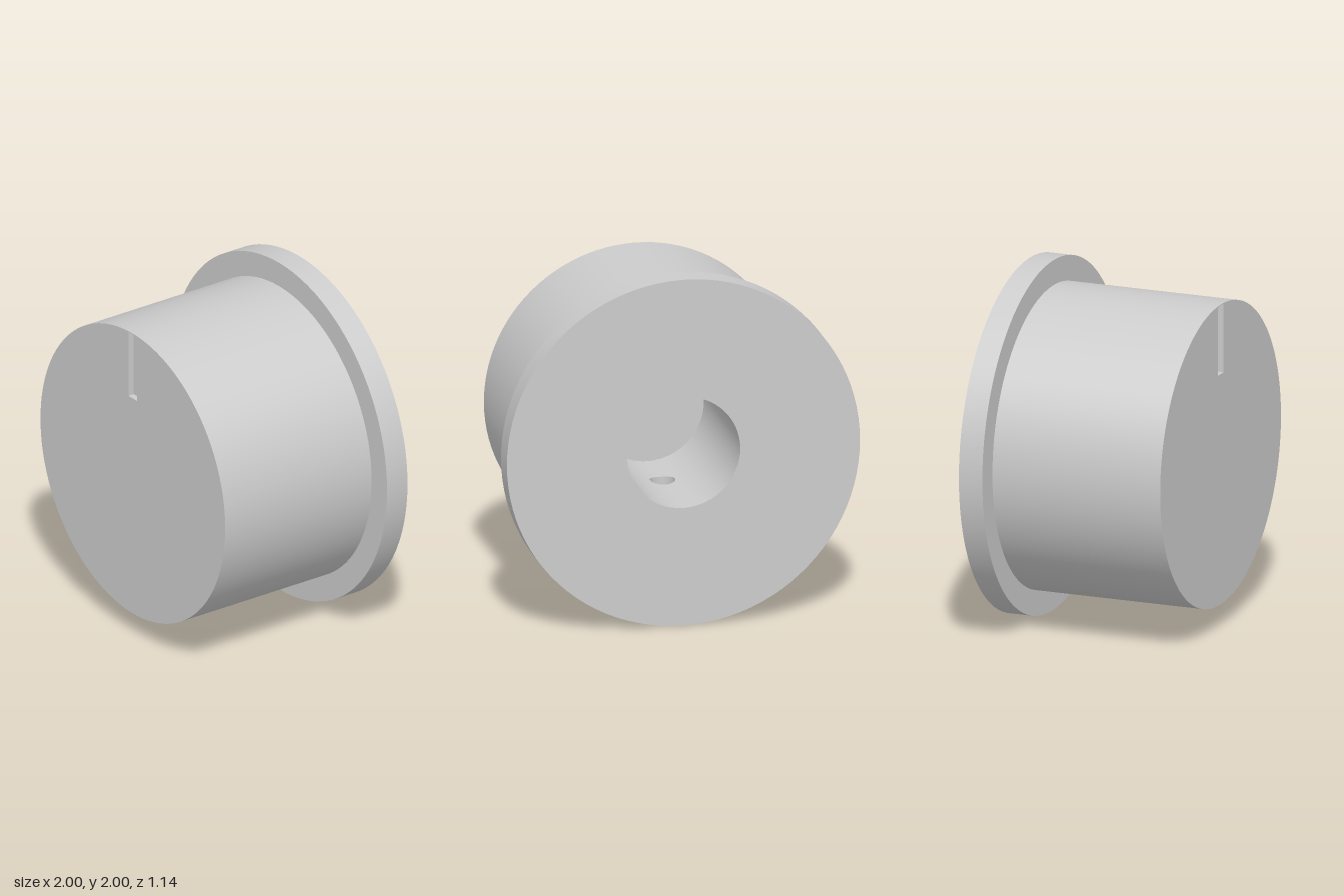
import * as THREE from 'three';
import { toCreasedNormals } from 'three/addons/utils/BufferGeometryUtils.js';

const SEG = 96;
const BODY_R = 0.857, FLANGE_R = 1, BORE_R = 0.32;
const BACK = -0.571, STEP = -0.431, FRONT = 0.571, BORE_END = 0.29;
const HOLE_R = 0.071, HOLE_Z = -0.07, PATCH = 0.1; // set screw hole
const SLOT = { w: 0.08, y0: 0.46, y1: 0.851, depth: 0.036 };

const material = (side = THREE.FrontSide) => new THREE.MeshStandardMaterial({ color: 0xcccccc, side });

// Cylinder wall along z, leaving a gap at the bottom for the pierced strip
function arcWall(r, z0, z1) {
  const gap = Math.asin(PATCH / r);
  return new THREE.CylinderGeometry(r, r, z1 - z0, SEG, 1, true, gap, 2 * Math.PI - 2 * gap)
    .rotateX(Math.PI / 2).translate(0, 0, (z0 + z1) / 2);
}

// Bottom strip of that wall with a round hole: rings blend from circle to rectangle
function piercedStrip(r, z0, z1) {
  const corners = [[PATCH, z0], [PATCH, z1], [-PATCH, z1], [-PATCH, z0]];
  const N = 16, RINGS = 4, count = 4 * N;
  const pos = [], nor = [], idx = [];
  for (let ring = 0; ring <= RINGS; ring++) {
    const t = ring / RINGS;
    for (let k = 0; k < count; k++) {
      const side = Math.floor(k / N), f = (k % N) / N;
      const a = corners[side], b = corners[(side + 1) % 4];
      const phi = -Math.PI / 4 + (k / count) * 2 * Math.PI;
      const x = THREE.MathUtils.lerp(HOLE_R * Math.cos(phi), a[0] + (b[0] - a[0]) * f, t);
      const z = THREE.MathUtils.lerp(HOLE_Z + HOLE_R * Math.sin(phi), a[1] + (b[1] - a[1]) * f, t);
      const y = -Math.sqrt(r * r - x * x);
      pos.push(x, y, z);
      nor.push(x / r, y / r, 0);
      if (ring < RINGS) {
        const n = (k + 1) % count, i = ring * count, o = i + count;
        idx.push(i + k, o + k, o + n, i + k, o + n, i + n);
      }
    }
  }
  const g = new THREE.BufferGeometry();
  g.setAttribute('position', new THREE.Float32BufferAttribute(pos, 3));
  g.setAttribute('normal', new THREE.Float32BufferAttribute(nor, 3));
  g.setIndex(idx);
  return g;
}

export function createModel() {
  const model = new THREE.Group();
  model.name = 'knob';
  const add = (name, geometry, side) => {
    const mesh = new THREE.Mesh(geometry, material(side));
    mesh.name = name;
    mesh.position.y = 1;
    model.add(mesh);
  };

  // Flange: back face, rim and front step
  const profile = [[BORE_R, BACK], [FLANGE_R, BACK], [FLANGE_R, STEP], [BODY_R, STEP]]
    .map(([x, y]) => new THREE.Vector2(x, y));
  add('flange', toCreasedNormals(new THREE.LatheGeometry(profile, SEG).rotateX(Math.PI / 2), 0.5));

  // Body wall and blind bore, both pierced at the bottom
  add('bodyWall', arcWall(BODY_R, STEP, FRONT));
  add('bodyWallBottom', piercedStrip(BODY_R, STEP, FRONT));
  add('bore', arcWall(BORE_R, BACK, BORE_END), THREE.BackSide);
  add('boreBottom', piercedStrip(BORE_R, BACK, BORE_END), THREE.BackSide);
  add('boreEnd', new THREE.CircleGeometry(BORE_R, SEG).rotateY(Math.PI).translate(0, 0, BORE_END));

  // Set screw hole: its ends follow the bore and the body wall
  const screw = new THREE.CylinderGeometry(HOLE_R, HOLE_R, 1, 64, 1, true);
  const p = screw.attributes.position;
  for (let i = 0; i < p.count; i++) {
    const r = p.getY(i) > 0 ? BORE_R : BODY_R;
    p.setY(i, -Math.sqrt(r * r - p.getX(i) ** 2));
  }
  add('setScrewHole', screw.translate(0, 0, HOLE_Z), THREE.BackSide);

  // Front face with the pointer slot cut out
  const face = new THREE.Shape().absarc(0, 0, BODY_R, 0, 2 * Math.PI);
  const h = SLOT.w / 2;
  face.holes.push(new THREE.Path([[-h, SLOT.y0], [-h, SLOT.y1], [h, SLOT.y1], [h, SLOT.y0]]
    .map(([x, y]) => new THREE.Vector2(x, y))));
  add('frontFace', new THREE.ShapeGeometry(face, SEG).translate(0, 0, FRONT));

  // Slot walls and floor: a box seen from inside, without its front side
  const slot = new THREE.BoxGeometry(SLOT.w, SLOT.y1 - SLOT.y0, SLOT.depth);
  slot.setIndex([...slot.index.array].filter((_, i) => i < 24 || i >= 30));
  slot.clearGroups();
  add('pointerSlot', slot.translate(0, (SLOT.y0 + SLOT.y1) / 2, FRONT - SLOT.depth / 2), THREE.BackSide);

  return model;
}
